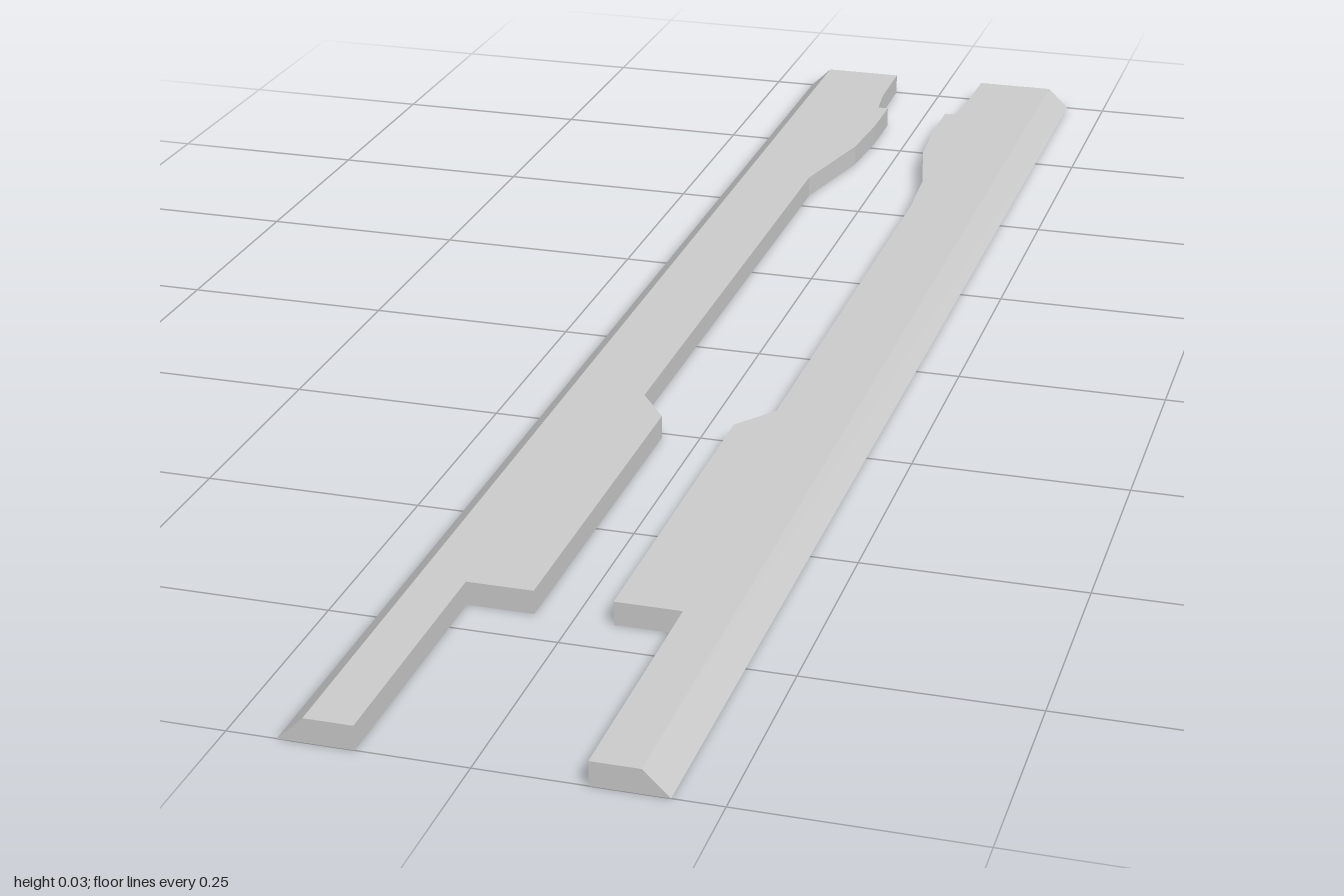
import * as THREE from 'three';

const HEIGHT = 0.027;
const OUTER = 0.197; // outer edge at the bottom
const BEVEL = 0.028; // how far the outer edge leans in at the top

// Inner edge of one rail in plan, as [x, z] from back to front
const INNER = [
  [0.065, -1], [0.063, -0.9], [0.057, -0.85], [0.043, -0.85], [0.043, -0.77],
  [0.049, -0.68], [0.08, -0.54], [0.08, 0.21], [0.043, 0.26],
  [0.043, 0.7], [0.117, 0.7], [0.117, 1],
];

function railGeometry(side) {
  const plan = [...INNER, [OUTER, 1], [OUTER, -1]];
  const shape = new THREE.Shape(plan.map(([x, z]) => new THREE.Vector2(side * x, -z)));
  const geometry = new THREE.ExtrudeGeometry(shape, { depth: HEIGHT, bevelEnabled: false });
  geometry.rotateX(-Math.PI / 2);

  // Lean the outer face inward towards the top
  const pos = geometry.attributes.position;
  for (let i = 0; i < pos.count; i++) {
    if (Math.abs(pos.getX(i)) > OUTER - 0.001 && pos.getY(i) > HEIGHT / 2) {
      pos.setX(i, side * (OUTER - BEVEL));
    }
  }
  geometry.computeVertexNormals();
  return geometry;
}

export function createModel() {
  const model = new THREE.Group();
  model.name = 'sideRails';
  const material = new THREE.MeshStandardMaterial({ color: 0xcccccc, flatShading: true });

  // Mirrored pair of rails
  for (const [name, side] of [['leftRail', 1], ['rightRail', -1]]) {
    const rail = new THREE.Mesh(railGeometry(side), material);
    rail.name = name;
    model.add(rail);
  }
  return model;
}
